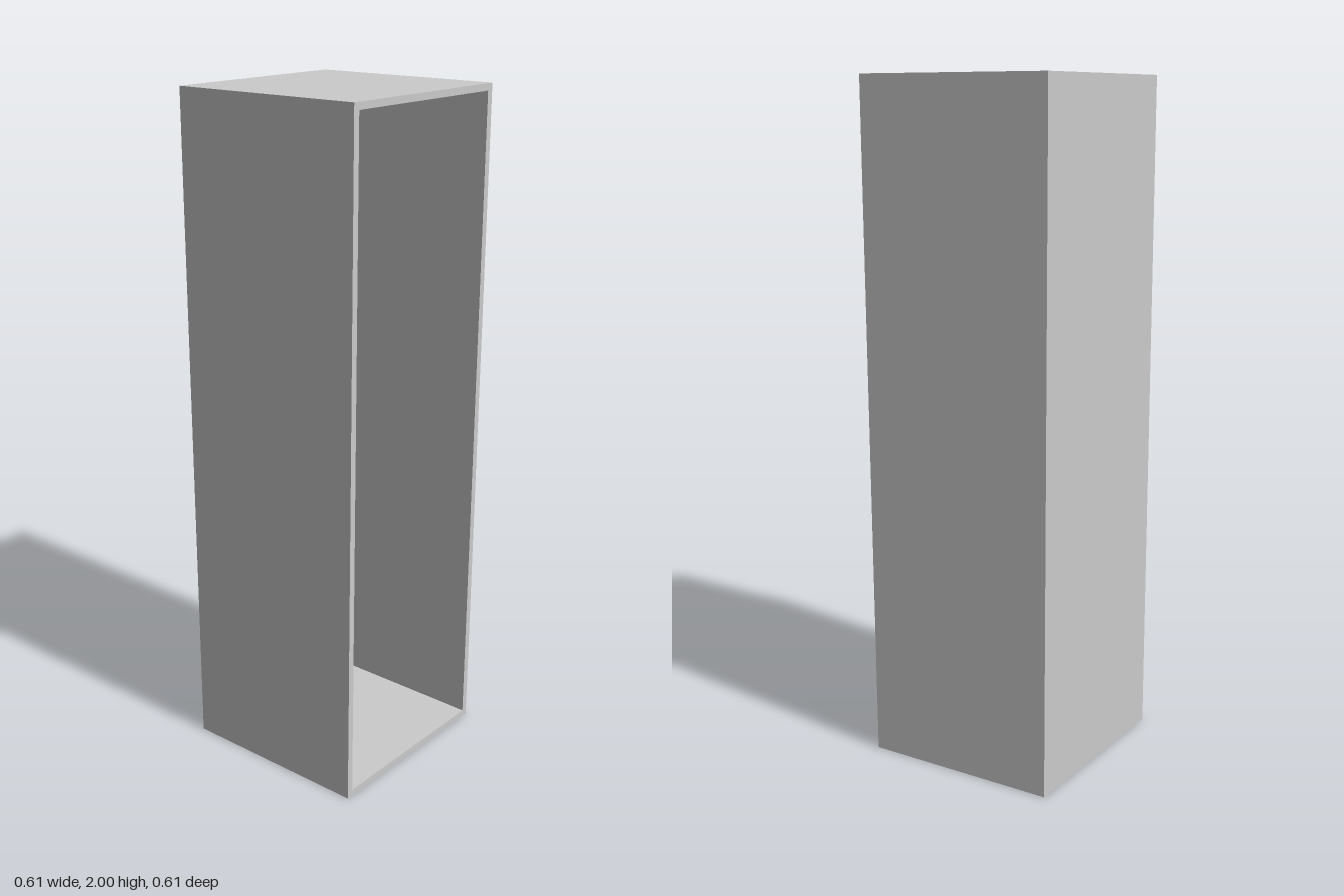
import * as THREE from 'three';

const W = 0.305, H = 2, T = 0.02; // half width, height, board thickness
const material = new THREE.MeshStandardMaterial({ color: 0xcccccc, flatShading: true });

// Front edge leans back slightly towards the floor and towards +x
const frontZ = (x, y) => 0.295 - 0.0065 * x + 0.007 * (y - 1);

// Board between two corners; its front vertices follow the leaning front plane
function board(name, [x0, y0, z0], [x1, y1, z1], toFront = true) {
  const geo = new THREE.BoxGeometry(x1 - x0, y1 - y0, z1 - z0);
  geo.translate((x0 + x1) / 2, (y0 + y1) / 2, (z0 + z1) / 2);
  const p = geo.attributes.position;
  if (toFront) {
    for (let i = 0; i < p.count; i++) {
      if (p.getZ(i) > 0) p.setZ(i, frontZ(p.getX(i), p.getY(i)));
    }
    geo.computeVertexNormals();
  }
  const mesh = new THREE.Mesh(geo, material);
  mesh.name = name;
  return mesh;
}

export function createModel() {
  const cabinet = new THREE.Group();
  cabinet.name = 'openCabinet';
  const inner = W - T;
  cabinet.add(
    // Full-height sides
    board('rightSide', [-W, 0, -W], [-inner, H, W]),
    board('leftSide', [inner, 0, -W], [W, H, W]),
    // Top and bottom fitted between the sides
    board('topPanel', [-inner, H - T, -W], [inner, H, W]),
    board('bottomPanel', [-inner, 0, -W], [inner, T, W]),
    // Back fitted inside the frame
    board('backPanel', [-inner, T, -W], [inner, H - T, -W + T], false),
  );
  return cabinet;
}
